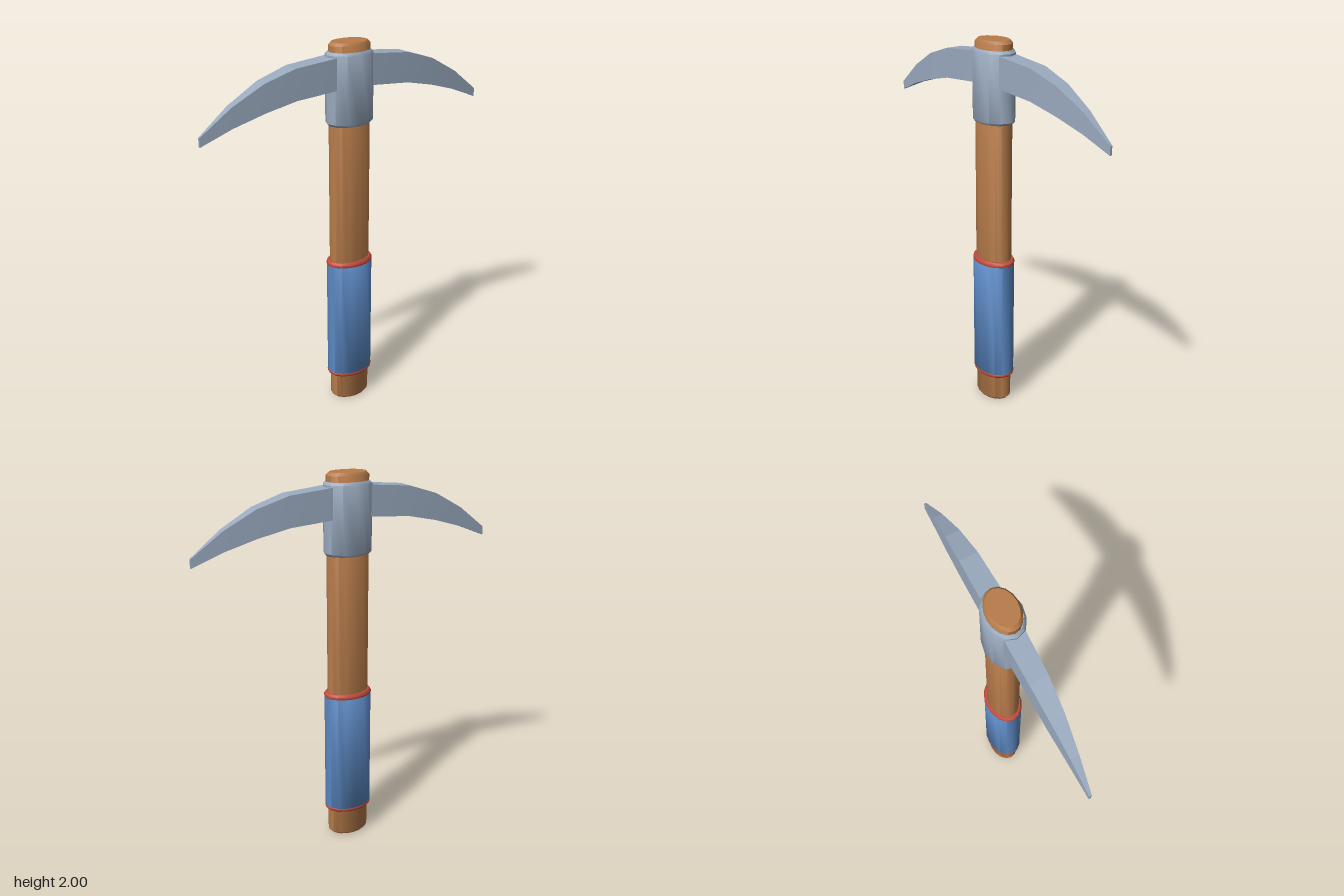
import * as THREE from 'three';
import { toCreasedNormals } from 'three/addons/utils/BufferGeometryUtils.js';

const wood = new THREE.MeshStandardMaterial({ color: 0xb87c4a });
const steel = new THREE.MeshStandardMaterial({ color: 0x9aaabf });
const blue = new THREE.MeshStandardMaterial({ color: 0x5b88c2 });
const red = new THREE.MeshStandardMaterial({ color: 0xc44c3c });

// Closed oval post with chamfered ends
function ovalPost(name, material, rx, rz, y0, y1, bevel, sides) {
  const profile = [
    [0, y0], [rx - bevel, y0], [rx, y0 + bevel],
    [rx, y1 - bevel], [rx - bevel, y1], [0, y1],
  ].map(([r, y]) => new THREE.Vector2(r, y));
  const geometry = new THREE.LatheGeometry(profile, sides);
  geometry.scale(1, 1, rz / rx);
  const mesh = new THREE.Mesh(toCreasedNormals(geometry, 0.75), material);
  mesh.name = name;
  return mesh;
}

// Curved blade: rectangular sections [x, bottom, top, half thickness]
function bladeGeometry() {
  const sections = [
    [-0.82, 1.605, 1.65, 0.006], [-0.66, 1.67, 1.77, 0.022],
    [-0.495, 1.72, 1.86, 0.037], [-0.33, 1.757, 1.912, 0.047],
    [-0.11, 1.775, 1.933, 0.052],
  ];
  const mirrored = sections.map(([x, b, t, w]) => [-x, b, t, w]).reverse();
  const all = [...sections, ...mirrored];
  const positions = [];
  const index = [];
  for (const [x, b, t, w] of all) positions.push(x, b, w, x, t, w, x, t, -w, x, b, -w);
  for (let i = 0; i < all.length - 1; i++) {
    for (let j = 0; j < 4; j++) {
      const a = i * 4 + j, b = i * 4 + (j + 1) % 4;
      index.push(a, a + 4, b + 4, a, b + 4, b);
    }
  }
  // Tip caps
  const e = (all.length - 1) * 4;
  index.push(0, 1, 2, 0, 2, 3, e, e + 2, e + 1, e, e + 3, e + 2);
  const geometry = new THREE.BufferGeometry();
  geometry.setAttribute('position', new THREE.Float32BufferAttribute(positions, 3));
  geometry.setIndex(index);
  return toCreasedNormals(geometry, 0.05);
}

export function createModel() {
  const model = new THREE.Group();
  model.name = 'pickaxe';

  // Shaft
  model.add(ovalPost('handle', wood, 0.113, 0.079, 0, 2, 0.015, 16));

  // Wrapped grip with a trim band at each end
  model.add(ovalPost('grip', blue, 0.13, 0.094, 0.165, 0.83, 0.004, 16));
  model.add(ovalPost('lowerBand', red, 0.132, 0.095, 0.15, 0.18, 0.01, 16));
  model.add(ovalPost('upperBand', red, 0.132, 0.095, 0.815, 0.848, 0.01, 16));

  // Head
  model.add(ovalPost('collar', steel, 0.13, 0.094, 1.588, 1.955, 0.013, 12));
  const blade = new THREE.Mesh(bladeGeometry(), steel);
  blade.name = 'blade';
  model.add(blade);

  return model;
}
